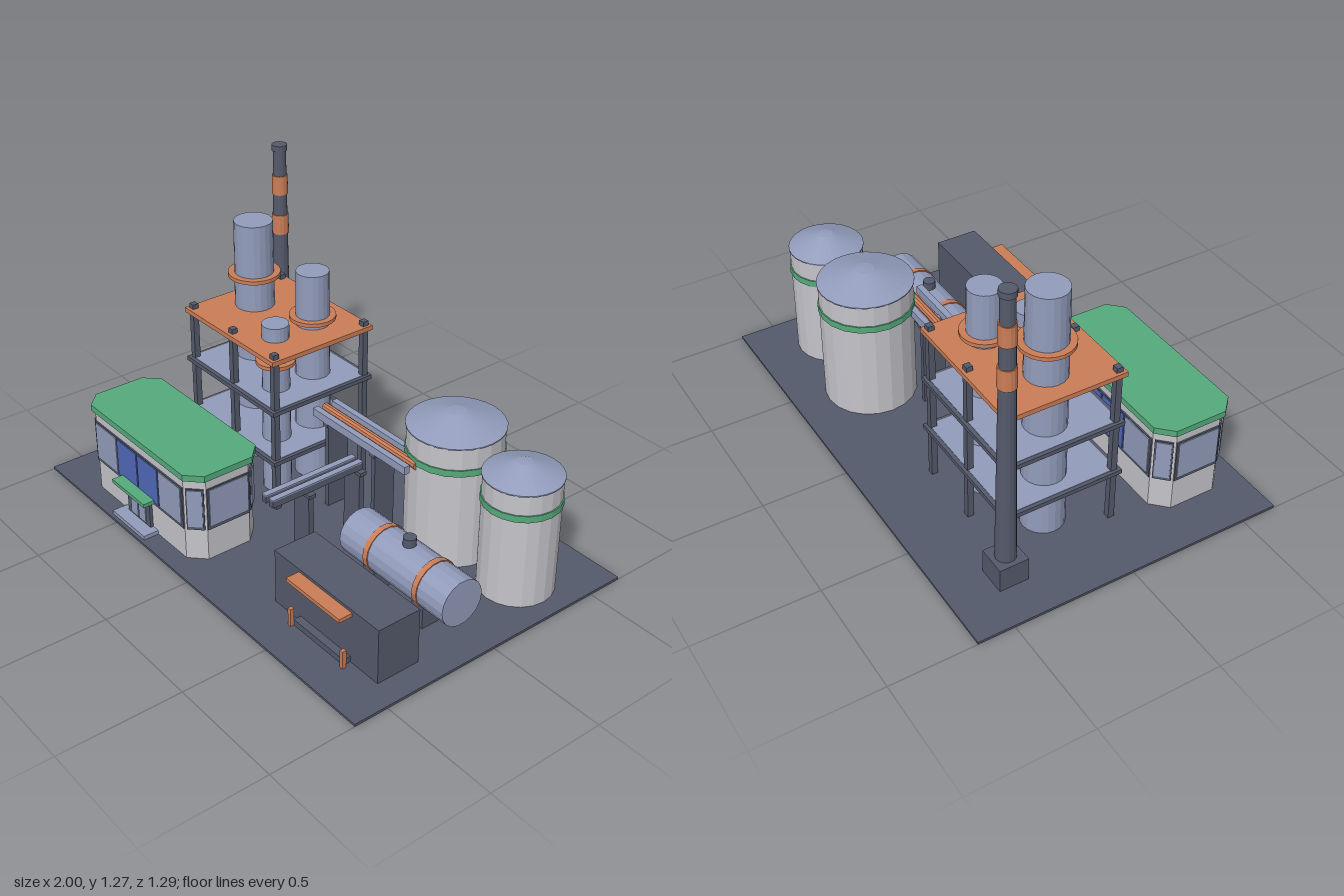
import * as THREE from 'three';

const mat = (name, color) => {
  const m = new THREE.MeshStandardMaterial({ color });
  m.name = name;
  m.flatShading = true;
  return m;
};

export function createModel() {
  const dark = mat('dark steel', 0x555a6b);
  const steel = mat('blue grey steel', 0x929cbb);
  const orange = mat('safety orange', 0xcb7d57);
  const green = mat('roof green', 0x56aa7c);
  const pale = mat('pale concrete', 0xc4c4ca);
  const glass = mat('blue glass', 0x5068b8);

  const root = new THREE.Group();
  root.name = 'refinery';
  const group = (name, parent = root) => {
    const g = new THREE.Group();
    g.name = name;
    parent.add(g);
    return g;
  };
  const add = (parent, name, geo, m, x = 0, y = 0, z = 0) => {
    const mesh = new THREE.Mesh(geo, m);
    mesh.name = name;
    mesh.position.set(x, y, z);
    parent.add(mesh);
  };
  // box given by its limits on each axis
  const box = (parent, name, m, x0, x1, y0, y1, z0, z1) =>
    add(parent, name, new THREE.BoxGeometry(x1 - x0, y1 - y0, z1 - z0), m,
      (x0 + x1) / 2, (y0 + y1) / 2, (z0 + z1) / 2);
  // upright cylinder from y0 to y1
  const cyl = (parent, name, m, x, z, y0, y1, r0, r1 = r0, n = 20) =>
    add(parent, name, new THREE.CylinderGeometry(r1, r0, y1 - y0, n), m, x, (y0 + y1) / 2, z);

  box(root, 'basePlate', dark, -1, 1, 0, 0.01, -0.65, 0.645);

  // chimney with painted bands
  const chimney = group('chimney');
  const cx = -0.78, cz = -0.405;
  box(chimney, 'chimneyFoot', dark, cx - 0.06, cx + 0.06, 0.01, 0.11, cz - 0.06, cz + 0.06);
  cyl(chimney, 'chimneyStack', dark, cx, cz, 0.11, 1.25, 0.041, 0.027, 14);
  cyl(chimney, 'chimneyCap', dark, cx, cz, 1.245, 1.27, 0.032, 0.032, 14);
  cyl(chimney, 'lowerBand', orange, cx, cz, 0.88, 0.965, 0.036, 0.035, 14);
  cyl(chimney, 'upperBand', orange, cx, cz, 1.056, 1.138, 0.034, 0.033, 14);

  // tall towers with ring walkways: x, z, height, bottom r, top r, ring y, ring r
  [[-0.6, -0.135, 1.07, 0.087, 0.079, 0.84, 0.107],
    [-0.32, -0.215, 0.93, 0.076, 0.067, 0.732, 0.095],
    [-0.315, -0.025, 0.76, 0.06, 0.055, 0.595, 0.081]].forEach(([x, z, h, r0, r1, ry, rr]) => {
    const tower = group('tower');
    cyl(tower, 'towerShell', steel, x, z, 0.01, h, r0, r1);
    cyl(tower, 'ringWalkway', orange, x, z, ry - 0.008, ry + 0.008, rr, rr, 24);
  });

  // open frame around the towers
  const frame = group('towerFrame');
  box(frame, 'topDeck', orange, -0.745, -0.15, 0.68, 0.7, -0.385, 0.112);
  for (const y of [0.235, 0.465]) {
    box(frame, 'deck', steel, -0.73, -0.165, y + 0.002, y + 0.011, -0.37, 0.097);
    for (const z of [-0.378, 0.105])
      box(frame, 'deckBeam', dark, -0.745, -0.15, y - 0.009, y + 0.009, z - 0.008, z + 0.008);
    for (const x of [-0.737, -0.158])
      box(frame, 'deckBeam', dark, x - 0.008, x + 0.008, y - 0.009, y + 0.009, -0.37, 0.097);
  }
  for (const x of [-0.72, -0.447, -0.175])
    for (const z of [-0.36, 0.085])
      box(frame, 'column', dark, x - 0.013, x + 0.013, 0.01, 0.72, z - 0.013, z + 0.013);

  // control building with cut corners
  const house = group('controlBuilding');
  house.position.set(-0.433, 0, 0.403);
  const octagon = (hx, hz, c, h) => {
    const s = new THREE.Shape([[hx, hz - c], [hx - c, hz], [c - hx, hz], [-hx, hz - c],
      [-hx, c - hz], [c - hx, -hz], [hx - c, -hz], [hx, c - hz]]
      .map(([x, y]) => new THREE.Vector2(x, y)));
    return new THREE.ExtrudeGeometry(s, { depth: h, bevelEnabled: false }).rotateX(-Math.PI / 2);
  };
  add(house, 'walls', octagon(0.375, 0.16, 0.062, 0.37), pale, 0, 0.01, 0);
  add(house, 'roof', octagon(0.387, 0.17, 0.06, 0.027), green, 0, 0.374, 0);

  // one framed window strip per wall, facing outward
  const windows = (x, z, turn, w, panes) => {
    const g = group('windowStrip', house);
    g.position.set(x, 0, z);
    g.rotation.y = turn;
    box(g, 'windowFrame', dark, -w / 2, w / 2, 0.148, 0.332, -0.003, 0.006);
    panes.forEach(([x0, x1, m]) => box(g, 'pane', m, x0, x1, 0.163, 0.328, 0.002, 0.01));
  };
  const longPanes = [[-0.303, -0.152, steel], [-0.144, -0.004, glass], [0.004, 0.144, glass], [0.152, 0.303, steel]];
  windows(0, 0.16, 0, 0.625, longPanes);
  windows(0, -0.16, Math.PI, 0.625, longPanes);
  for (const s of [-1, 1]) {
    windows(s * 0.375, 0, s * Math.PI / 2, 0.195, [[-0.09, 0.09, steel]]);
    for (const t of [-1, 1])
      windows(s * 0.344, t * 0.129, Math.atan2(s, t), 0.07, [[-0.029, 0.029, steel]]);
  }

  // entrance
  const door = group('entrance', house);
  box(door, 'doorFrame', dark, -0.08, 0.08, 0.01, 0.15, 0.155, 0.173);
  for (const s of [-1, 1])
    box(door, 'doorLeaf', steel, s * 0.028 - 0.024, s * 0.028 + 0.024, 0.035, 0.142, 0.17, 0.177);
  box(door, 'doorstep', steel, -0.115, 0.115, 0.01, 0.027, 0.16, 0.227);
  box(door, 'canopy', green, -0.115, 0.115, 0.158, 0.174, 0.16, 0.219);

  // upright storage tanks: x, z, r, wall height, peak, band y
  [[0.42, -0.322, 0.19, 0.545, 0.6, 0.438], [0.78, -0.32, 0.15, 0.505, 0.56, 0.405]].forEach(([x, z, r, h, top, by]) => {
    const tank = group('storageTank');
    cyl(tank, 'tankWall', pale, x, z, 0.01, h - 0.003, r);
    cyl(tank, 'tankBand', green, x, z, by - 0.014, by + 0.014, r + 0.005);
    const profile = [[r + 0.004, h - 0.005], [r + 0.004, h], [r * 0.2, top - 0.003], [0, top]]
      .map(p => new THREE.Vector2(...p));
    add(tank, 'tankRoof', new THREE.LatheGeometry(profile, 28), steel, x, 0, z);
  });

  // lying tank on saddles
  const drum = group('lyingTank');
  const lying = (name, m, x0, x1, r) =>
    add(drum, name, new THREE.CylinderGeometry(r, r, x1 - x0, 18).rotateZ(Math.PI / 2), m, (x0 + x1) / 2, 0.162, 0.06);
  lying('drumShell', steel, 0.315, 0.885, 0.096);
  for (const x of [0.465, 0.737]) {
    lying('drumBand', orange, x - 0.012, x + 0.012, 0.1);
    box(drum, 'saddle', dark, x - 0.03, x + 0.03, 0.01, 0.105, -0.02, 0.138);
  }
  cyl(drum, 'hatch', dark, 0.6, 0.06, 0.25, 0.29, 0.026, 0.026, 12);

  // equipment shed with awning, step and guard posts
  const shed = group('equipmentShed');
  box(shed, 'shedBody', dark, 0.308, 0.893, 0.01, 0.242, 0.268, 0.455);
  box(shed, 'awning', orange, 0.452, 0.752, 0.214, 0.23, 0.45, 0.513);
  box(shed, 'shedStep', dark, 0.46, 0.745, 0.01, 0.035, 0.45, 0.487);
  for (const x of [0.453, 0.751])
    box(shed, 'guardPost', orange, x - 0.008, x + 0.008, 0.01, 0.085, 0.485, 0.502);

  // main pipe bridge from the towers to the tanks
  const bridge = group('mainPipeBridge');
  for (const z of [-0.183, -0.088])
    box(bridge, 'sideBeam', steel, -0.14, 0.41, 0.402, 0.436, z - 0.013, z + 0.013);
  add(bridge, 'orangePipe', new THREE.CylinderGeometry(0.018, 0.018, 0.55, 10).rotateZ(Math.PI / 2), orange, 0.135, 0.42, -0.137);
  for (const x of [-0.06, 0.11, 0.22])
    box(bridge, 'crossTie', steel, x - 0.012, x + 0.012, 0.398, 0.408, -0.18, -0.09);
  for (const x of [-0.064, 0.22]) {
    box(bridge, 'bridgeSupport', dark, x - 0.01, x + 0.01, 0.01, 0.388, -0.185, -0.085);
    box(bridge, 'supportCap', dark, x - 0.014, x + 0.014, 0.385, 0.402, -0.195, -0.077);
  }

  // branch bridge running to the front
  const branch = group('branchPipeBridge');
  for (const x of [0.115, 0.158]) {
    box(branch, 'branchBeam', dark, x - 0.013, x + 0.013, 0.308, 0.336, -0.075, 0.358);
    box(branch, 'branchCover', steel, x - 0.013, x + 0.013, 0.336, 0.342, -0.075, 0.358);
  }
  for (const z of [-0.06, 0.188]) {
    box(branch, 'branchSupport', dark, 0.09, 0.183, 0.01, 0.295, z - 0.012, z + 0.012);
    box(branch, 'branchCap', dark, 0.08, 0.193, 0.293, 0.308, z - 0.016, z + 0.016);
  }
  return root;
}
